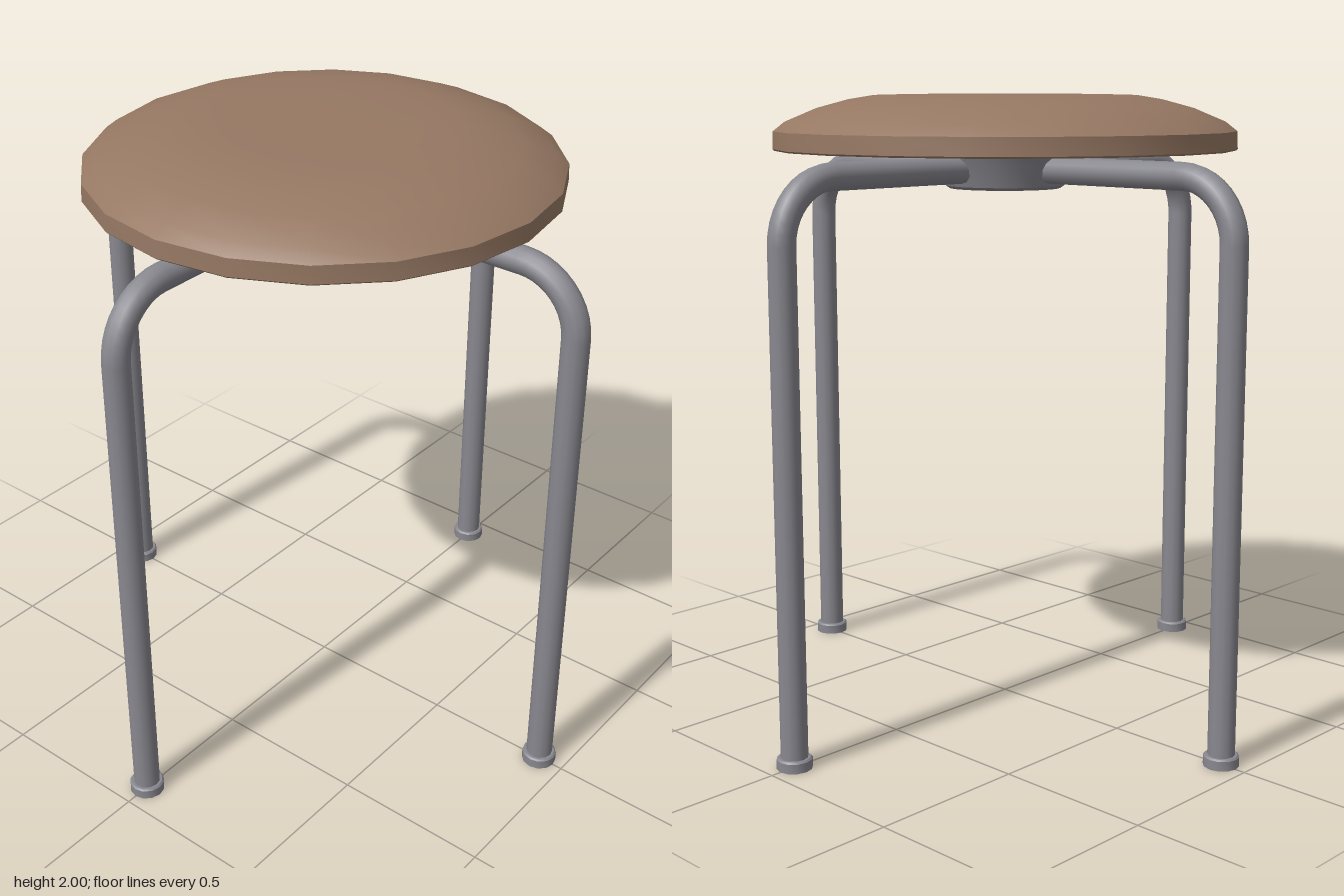
import * as THREE from 'three';
import { toCreasedNormals } from 'three/addons/utils/BufferGeometryUtils.js';

const LEG_X = 0.913, RAIL_Y = 1.765, BEND = 0.19, TUBE = 0.042, FOOT_H = 0.035;

// Turned solid from [radius, height] points, listed from the bottom up
function turned(name, points, sides, material) {
  const profile = points.map(([r, y]) => new THREE.Vector2(r, y));
  const geometry = toCreasedNormals(new THREE.LatheGeometry(profile, sides), 0.65);
  const mesh = new THREE.Mesh(geometry, material);
  mesh.name = name;
  return mesh;
}

// One bent tube leg pointing along +x: upright, quarter bend, rail and foot
function makeLeg(metal) {
  const leg = new THREE.Group();
  const add = (name, geometry) => {
    const mesh = new THREE.Mesh(geometry, metal);
    mesh.name = name;
    leg.add(mesh);
    return mesh;
  };

  const uprightTop = RAIL_Y - BEND;
  const uprightLength = uprightTop - 0.02;
  add('upright', new THREE.CylinderGeometry(TUBE, TUBE, uprightLength, 12, 1, true))
    .position.set(LEG_X, 0.02 + uprightLength / 2, 0);

  add('bend', new THREE.TorusGeometry(BEND, TUBE, 12, 10, Math.PI / 2))
    .position.set(LEG_X - BEND, uprightTop, 0);

  const railLength = LEG_X - BEND;
  const rail = add('rail', new THREE.CylinderGeometry(TUBE, TUBE, railLength, 12, 1, true));
  rail.rotation.z = Math.PI / 2;
  rail.position.set(railLength / 2, RAIL_Y, 0);

  const foot = turned('foot', [[0, 0], [0.055, 0], [0.055, FOOT_H - 0.005], [0.05, FOOT_H], [0, FOOT_H]], 12, metal);
  foot.position.x = LEG_X;
  leg.add(foot);
  return leg;
}

export function createModel() {
  const leather = new THREE.MeshStandardMaterial({ color: 0x967863 });
  leather.name = 'brown leather';
  const metal = new THREE.MeshStandardMaterial({ color: 0x88888f });
  metal.name = 'grey metal';

  const stool = new THREE.Group();
  stool.name = 'stool';

  // Domed cushion with a flat underside
  stool.add(turned('seat', [
    [0, 1.825], [0.735, 1.825], [0.74, 1.83], [0.738, 1.885], [0.7, 1.915],
    [0.6, 1.957], [0.5, 1.984], [0.42, 1.997], [0.3, 2], [0, 2],
  ], 20, leather));

  // Tapered hub under the seat
  stool.add(turned('hub', [
    [0, 1.703], [0.178, 1.703], [0.192, 1.712], [0.215, 1.78], [0.235, 1.826],
  ], 20, metal));

  // Four legs around the hub
  ['leftLeg', 'backLeg', 'rightLeg', 'frontLeg'].forEach((name, i) => {
    const leg = makeLeg(metal);
    leg.name = name;
    leg.rotation.y = i * Math.PI / 2;
    stool.add(leg);
  });

  return stool;
}
